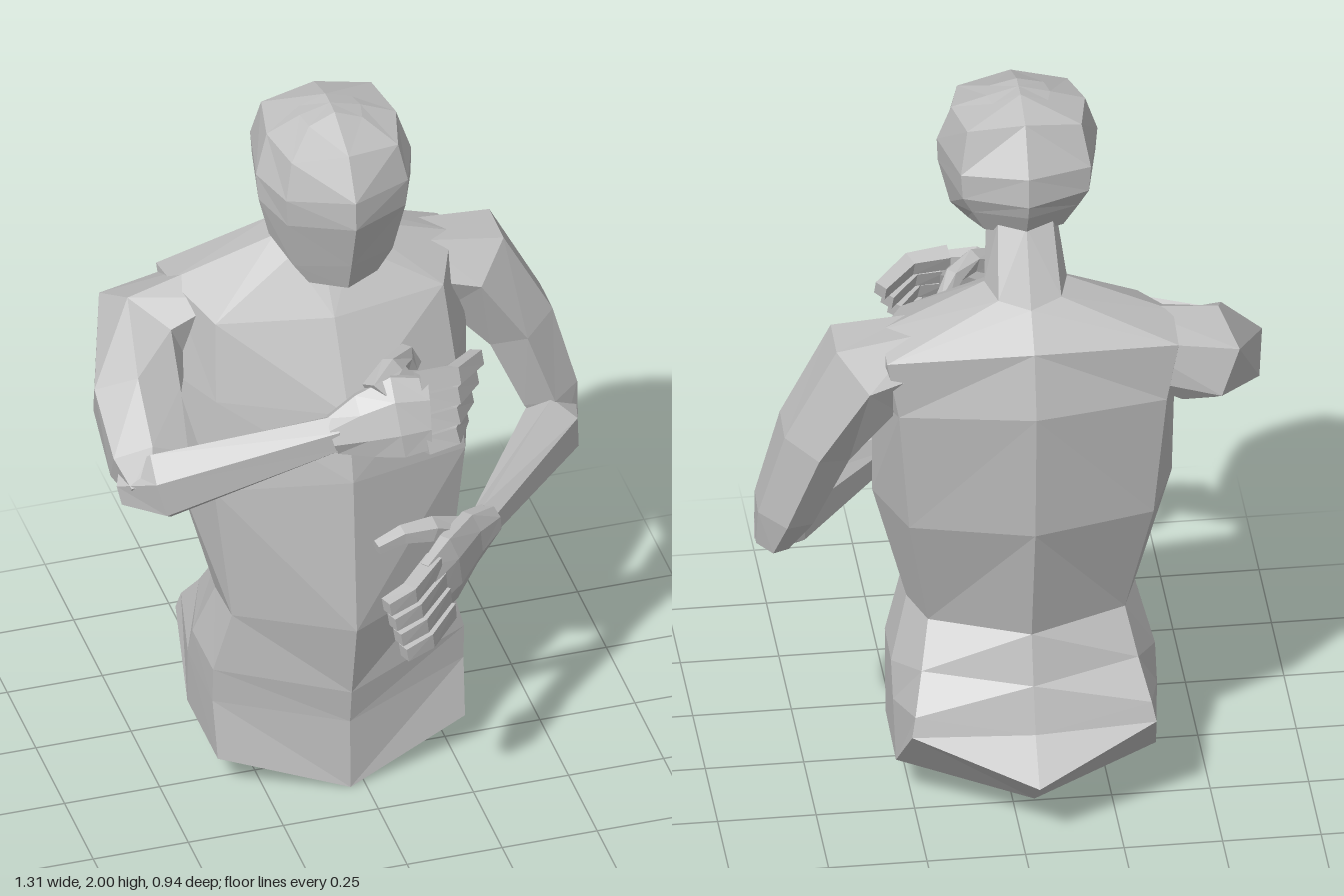
import * as THREE from 'three';

const V = (x, y, z) => new THREE.Vector3(x, y, z);
const CX = -0.04; // body's mirror line

const grey = new THREE.MeshStandardMaterial({ color: 0xbfbfbf, flatShading: true });
grey.name = 'plain grey';

// Skin a list of rings, closing both ends with fans; turned outward by its volume
function loft(name, rings, startCap, endCap) {
  const tris = [];
  const n = rings[0].length;
  const mid = (r) => r.reduce((s, p) => s.add(p), V(0, 0, 0)).divideScalar(n);
  const a = startCap || mid(rings[0]);
  const b = endCap || mid(rings[rings.length - 1]);
  for (let j = 0; j < n; j++) {
    const k = (j + 1) % n;
    tris.push([a, rings[0][k], rings[0][j]]);
    for (let i = 0; i + 1 < rings.length; i++) {
      const r = rings[i], s = rings[i + 1];
      // diagonals mirror from one half to the other
      if (j < n / 2) tris.push([r[j], r[k], s[k]], [r[j], s[k], s[j]]);
      else tris.push([r[j], r[k], s[j]], [r[k], s[k], s[j]]);
    }
    const e = rings[rings.length - 1];
    tris.push([b, e[j], e[k]]);
  }
  let vol = 0;
  for (const [p, q, r] of tris) vol += p.dot(q.clone().cross(r));
  const pos = [];
  for (const t of tris) {
    for (const p of vol < 0 ? [t[0], t[2], t[1]] : t) pos.push(p.x, p.y, p.z);
  }
  const g = new THREE.BufferGeometry();
  g.setAttribute('position', new THREE.Float32BufferAttribute(pos, 3));
  g.computeVertexNormals();
  const mesh = new THREE.Mesh(g, grey);
  mesh.name = name;
  return mesh;
}

// Half outline [x, y, z] from front middle to back middle, mirrored to a ring
function mirrorRing(half) {
  const left = half.map(([x, y, z]) => V(CX + x, y, z));
  const right = half.slice(1, -1).reverse().map(([x, y, z]) => V(CX - x, y, z));
  return left.concat(right);
}

// Faceted limb along [x, y, z, thickness radius, width radius]; width follows ref
function limb(name, pts, ref, sides = 6) {
  const c = pts.map((p) => V(p[0], p[1], p[2]));
  const rings = pts.map((p, i) => {
    const t = c[Math.min(i + 1, c.length - 1)].clone().sub(c[Math.max(i - 1, 0)]).normalize();
    const v = ref.clone().addScaledVector(t, -ref.dot(t)).normalize();
    const u = v.clone().cross(t);
    return Array.from({ length: sides }, (_, k) => {
      const a = ((k + 0.5) / sides) * Math.PI * 2;
      return c[i].clone().addScaledVector(u, Math.cos(a) * p[3]).addScaledVector(v, Math.sin(a) * p[4]);
    });
  });
  return loft(name, rings);
}

function hand(name, palm, ref, finger, thumb) {
  const g = new THREE.Group();
  g.name = name;
  g.add(limb('palm', palm, ref, 8));
  for (let i = 0; i < 4; i++) g.add(limb('finger', finger(i), ref, 4));
  g.add(limb('thumb', thumb, V(0.2, 0.3, 1), 5));
  return g;
}

export function createModel() {
  const model = new THREE.Group();
  model.name = 'torsoFigure';

  // Torso from hips to shoulders and neck
  const torso = [
    [[0, 0, 0.14], [0.325, 0.1, 0.06], [0.33, 0.11, -0.19], [0.31, 0.28, -0.36], [0, 0.17, -0.47]],
    [[0, 0.2, 0.135], [0.33, 0.26, 0.03], [0.335, 0.28, -0.17], [0.3, 0.33, -0.345], [0, 0.28, -0.385]],
    [[0, 0.3, 0.15], [0.33, 0.36, 0.035], [0.335, 0.37, -0.13], [0.275, 0.42, -0.27], [0, 0.4, -0.345]],
    [[0, 0.52, 0.195], [0.285, 0.53, 0.05], [0.29, 0.53, -0.08], [0.25, 0.53, -0.2], [0, 0.53, -0.305]],
    [[0, 0.96, 0.165], [0.33, 0.92, 0.045], [0.38, 0.87, -0.11], [0.31, 0.87, -0.3], [0, 0.87, -0.38]],
    [[0, 1.14, 0.125], [0.315, 1.17, 0.01], [0.385, 1.18, -0.13], [0.34, 1.22, -0.33], [0, 1.23, -0.405]],
    [[0, 1.36, 0], [0.3, 1.37, -0.045], [0.37, 1.41, -0.21], [0.37, 1.38, -0.33], [0, 1.4, -0.365]],
    [[0, 1.485, -0.105], [0.08, 1.49, -0.115], [0.105, 1.515, -0.18], [0.08, 1.51, -0.27], [0, 1.49, -0.295]],
    [[0, 1.59, -0.03], [0.07, 1.6, -0.05], [0.09, 1.64, -0.1], [0.07, 1.68, -0.18], [0, 1.68, -0.2]],
  ];
  model.add(loft('torso', torso.map(mirrorRing), V(CX, 0.075, -0.36)));

  // Head from jaw to crown
  const head = [
    [[0, 1.535, 0.12], [0.09, 1.54, 0.075], [0.125, 1.6, -0.01], [0.1, 1.65, -0.15], [0, 1.66, -0.2]],
    [[0, 1.62, 0.148], [0.13, 1.6, 0.075], [0.17, 1.65, -0.01], [0.135, 1.72, -0.175], [0, 1.73, -0.24]],
    [[0, 1.76, 0.19], [0.155, 1.75, 0.105], [0.2, 1.77, 0], [0.16, 1.77, -0.19], [0, 1.77, -0.255]],
    [[0, 1.84, 0.187], [0.16, 1.83, 0.11], [0.204, 1.84, -0.01], [0.165, 1.84, -0.19], [0, 1.85, -0.25]],
    [[0, 1.945, 0.125], [0.14, 1.93, 0.09], [0.17, 1.945, -0.03], [0.145, 1.95, -0.16], [0, 1.97, -0.18]],
    [[0, 1.998, 0], [0.07, 1.975, 0.01], [0.08, 1.978, -0.04], [0.07, 1.977, -0.08], [0, 2, -0.08]],
  ];
  model.add(loft('head', head.map(mirrorRing), null, V(CX, 2, -0.04)));

  const up = V(0, 1, 0), forward = V(0, 0, 1), tilted = V(0, 1, -0.4);

  // Lowered left arm
  model.add(limb('leftUpperArm', [
    [0.22, 1.34, -0.22, 0.1, 0.1], [0.375, 1.305, -0.22, 0.14, 0.13], [0.5, 1.11, -0.215, 0.105, 0.118],
    [0.575, 0.89, -0.195, 0.085, 0.09], [0.605, 0.79, -0.18, 0.05, 0.06],
  ], forward));
  model.add(limb('leftForearm', [
    [0.61, 0.82, -0.2, 0.05, 0.05], [0.57, 0.815, -0.12, 0.08, 0.09], [0.3, 0.78, 0.18, 0.035, 0.055],
  ], up));
  model.add(hand('leftHand', [
    [0.32, 0.78, 0.17, 0.035, 0.05], [0.25, 0.77, 0.22, 0.038, 0.09],
    [0.17, 0.75, 0.3, 0.038, 0.115], [0.1, 0.73, 0.36, 0.027, 0.105],
  ], up, (i) => [
    [0.12 + 0.012 * i, 0.805 - 0.05 * i, 0.345, 0.03, 0.034],
    [0.03 + 0.015 * i, 0.788 - 0.05 * i, 0.43, 0.028, 0.032],
    [-0.04 + 0.015 * i, 0.775 - 0.05 * i, 0.455, 0.024, 0.028],
  ], [
    [0.21, 0.81, 0.24, 0.04, 0.035], [0.13, 0.855, 0.27, 0.034, 0.034],
    [0.05, 0.865, 0.285, 0.026, 0.026], [-0.02, 0.85, 0.3, 0.02, 0.02],
  ]));

  // Raised right arm
  model.add(limb('rightUpperArm', [
    [-0.27, 1.34, -0.22, 0.11, 0.1], [-0.48, 1.28, -0.215, 0.14, 0.13], [-0.545, 1.18, -0.05, 0.125, 0.12],
    [-0.56, 1.09, 0.11, 0.11, 0.1], [-0.575, 1.05, 0.18, 0.06, 0.06],
  ], up));
  model.add(limb('rightForearm', [
    [-0.63, 1.04, 0.12, 0.045, 0.055], [-0.55, 1.065, 0.175, 0.075, 0.1], [-0.1, 1.19, 0.25, 0.045, 0.052],
  ], up));
  model.add(hand('rightHand', [
    [-0.12, 1.185, 0.248, 0.045, 0.052], [-0.04, 1.21, 0.265, 0.042, 0.09],
    [0.04, 1.235, 0.285, 0.042, 0.115], [0.12, 1.235, 0.295, 0.028, 0.1],
  ], tilted, (i) => [
    [0.1, 1.31 - 0.05 * i, 0.262 + 0.02 * i, 0.03, 0.034],
    [0.2 - 0.008 * i, 1.305 - 0.047 * i, 0.25 + 0.02 * i, 0.028, 0.032],
    [0.285 - 0.02 * i, 1.285 - 0.042 * i, 0.165 + 0.02 * i, 0.024, 0.028],
  ], [
    [-0.01, 1.295, 0.25, 0.035, 0.04], [0.05, 1.33, 0.205, 0.032, 0.03],
    [0.1, 1.325, 0.15, 0.025, 0.025], [0.13, 1.27, 0.13, 0.02, 0.02],
  ]));

  return model;
}
